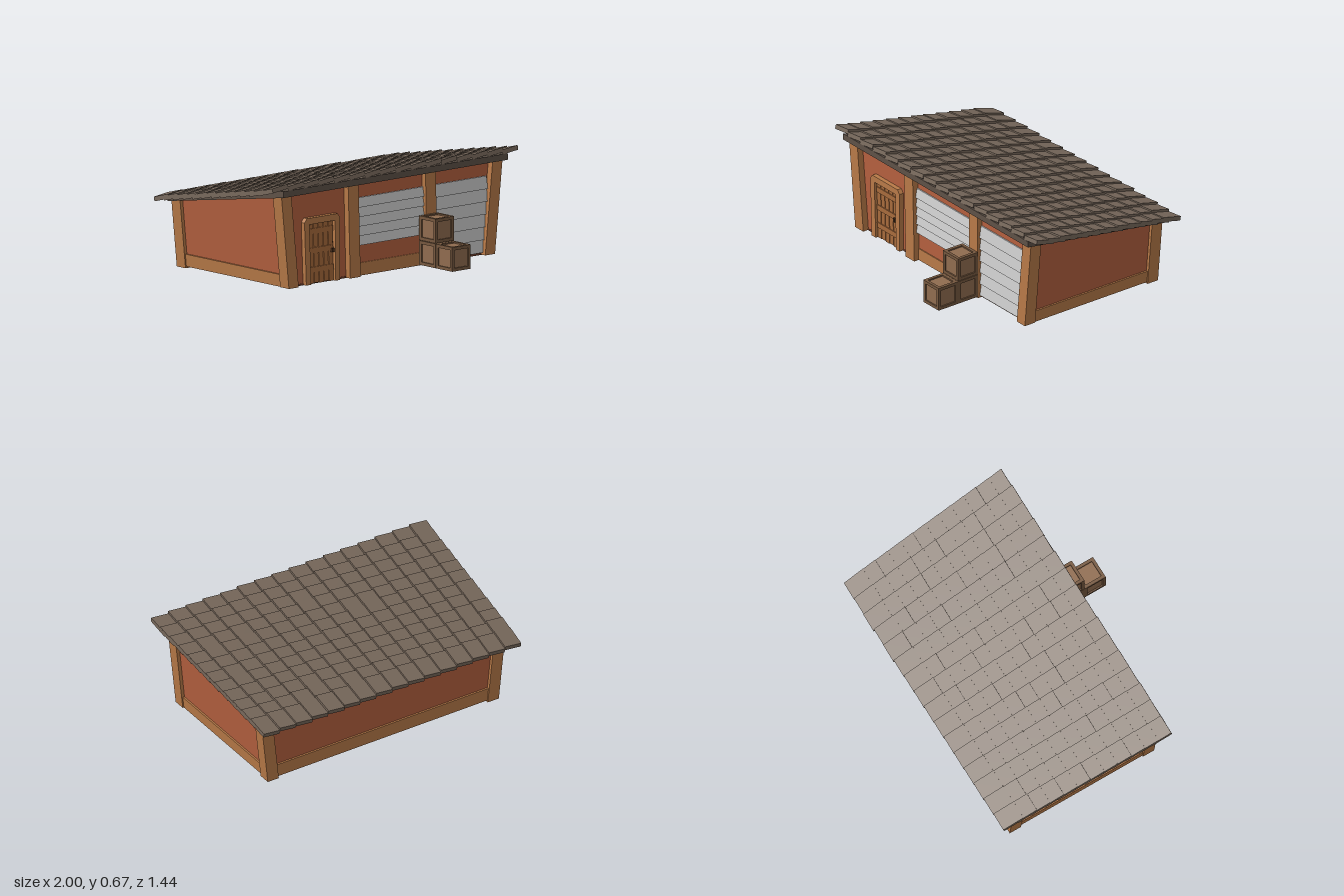
import * as THREE from 'three';
import { mergeGeometries } from 'three/addons/utils/BufferGeometryUtils.js';

const mat = (color) => new THREE.MeshStandardMaterial({ color, flatShading: true });
const M = {
  wall: mat(0xb4603f), wood: mat(0xb87a48), door: mat(0xa86b3c), gap: mat(0x4a2f1c),
  tile: mat(0x78695c), eave: mat(0x5e5147), floor: mat(0x6b3a28),
  crate: mat(0x906c4f), crateFrame: mat(0x76583f),
  metal: mat(0xcccccc),
};

// Underside of the sloping roof at depth z
const roofY = (z) => 0.59 + (z - 0.445) * 0.166;

// Box given by its limits, with corners moved by a rule
function block(x0, x1, y0, y1, z0, z1, rule) {
  const g = new THREE.BoxGeometry(x1 - x0, y1 - y0, z1 - z0);
  g.translate((x0 + x1) / 2, (y0 + y1) / 2, (z0 + z1) / 2);
  if (rule) {
    const p = g.attributes.position;
    const v = new THREE.Vector3();
    for (let i = 0; i < p.count; i++) {
      v.fromBufferAttribute(p, i);
      rule(v);
      p.setXYZ(i, v.x, v.y, v.z);
    }
    g.computeVertexNormals();
  }
  return g;
}

// Leans a part sideways with height
const lean = (k) => (v) => { v.x += k * v.y; };
// Leans a part and cuts its top to the roof slope
const underRoof = (k) => (v) => {
  if (v.y > 0.3) v.y = roofY(v.z) + 0.01;
  v.x += k * v.y;
};

function add(parent, name, material, ...geos) {
  const mesh = new THREE.Mesh(geos.length > 1 ? mergeGeometries(geos) : geos[0], material);
  mesh.name = name;
  parent.add(mesh);
  return mesh;
}

function group(parent, name) {
  const g = new THREE.Group();
  g.name = name;
  parent.add(g);
  return g;
}

let seed = 7;
const jitter = (a) => {
  seed = (seed * 16807) % 2147483647;
  return (seed / 2147483647 - 0.5) * 2 * a;
};

function buildRoof(root) {
  const roof = group(root, 'roof');
  // Eave slab following the slope
  add(roof, 'eaveSlab', M.eave, block(-1, 1, 0, 0.04, -0.65, 0.445, (v) => {
    v.x *= v.z > 0 ? 0.915 : 0.89;
    v.y += roofY(v.z);
  }));
  // Tiles: each one is higher at its front end and at its +x side
  const tiles = [], rows = 12, cols = 16, len = 0.14;
  const halfWidth = (z) => 1 - (0.445 - z) * 0.0558;
  for (let r = 0; r < rows; r++) {
    for (let c = 0; c < cols; c++) {
      const zf = 0.445 - r * 0.0932 + jitter(0.003);
      const yf = 0.67 - r * 0.017 + jitter(0.0015);
      tiles.push(block(0, 1, 0, 1, 0, 1, (v) => {
        const z = zf - (1 - v.z) * len;
        const top = yf - (1 - v.z) * 0.038 - (1 - v.x) * 0.014;
        const x = (((c + v.x) / cols) * 2 - 1) * halfWidth(z);
        v.set(x, top - (1 - v.y) * 0.028, z - (1 - v.y) * 0.006 * -1 - 0.006);
      }));
    }
  }
  add(roof, 'tiles', M.tile, ...tiles);
}

function buildDoor(root) {
  const door = group(root, 'door');
  const k = -0.03;
  // Frame with chamfered upper corners
  const s = new THREE.Shape();
  [[-0.69, 0.01], [-0.705, 0.4], [-0.685, 0.425], [-0.435, 0.425], [-0.415, 0.4], [-0.415, 0.01],
    [-0.45, 0.01], [-0.455, 0.385], [-0.665, 0.385], [-0.65, 0.01]]
    .forEach(([x, y], i) => (i ? s.lineTo(x, y) : s.moveTo(x, y)));
  const frame = new THREE.ExtrudeGeometry(s, { depth: 0.04, bevelEnabled: false });
  frame.translate(0, 0, 0.36);
  add(door, 'doorFrame', M.wood, frame);
  add(door, 'doorBacking', M.gap, block(-0.655, -0.445, 0.01, 0.392, 0.36, 0.376, lean(k)));
  // Planks with uneven ends
  const planks = [];
  for (let i = 0; i < 5; i++) {
    const x = -0.648 + i * 0.04;
    planks.push(block(x, x + 0.035, 0.015 + jitter(0.006), 0.385 + jitter(0.006), 0.37, 0.384, lean(k)));
  }
  add(door, 'doorPlanks', M.door, ...planks);
  // Cross boards
  add(door, 'doorBattens', M.door,
    ...[0.08, 0.2, 0.32].map((y) => block(-0.645, -0.455, y, y + 0.035, 0.375, 0.39, lean(k))));
  add(door, 'doorHandle', M.gap, block(-0.478, -0.462, 0.19, 0.215, 0.385, 0.4));
}

// Metal shutter made of slats whose lower edge stands out
function shutter(root, name, x0, x1, y0, y1, count) {
  const h = (y1 - y0) / count;
  const slats = [];
  for (let i = 0; i < count; i++) {
    const a = y0 + i * h;
    slats.push(block(x0, x1, a, a + h, 0.36, 0.378, (v) => {
      if (v.z > 0.37 && v.y < a + h / 2) v.z += 0.012;
    }));
  }
  add(root, name, M.metal, ...slats);
}

function crate(root, x, y, z) {
  const g = group(root, 'crate');
  const s = 0.0755, t = 0.02;
  add(g, 'cratePanels', M.crate, new THREE.BoxGeometry(s * 2 - 0.018, s * 2 - 0.018, s * 2 - 0.018));
  // Twelve edge beams
  const beams = [];
  for (const a of [-1, 1]) for (const b of [-1, 1]) {
    const p = a * (s - t / 2), q = b * (s - t / 2);
    beams.push(new THREE.BoxGeometry(s * 2, t, t).translate(0, p, q));
    beams.push(new THREE.BoxGeometry(t, s * 2, t).translate(p, 0, q));
    beams.push(new THREE.BoxGeometry(t, t, s * 2).translate(p, q, 0));
  }
  add(g, 'crateFrame', M.crateFrame, ...beams);
  g.position.set(x, y, z);
}

export function createModel() {
  const root = new THREE.Group();
  root.name = 'shed';

  // Walls flare outward with height
  add(root, 'walls', M.wall, block(-0.82, 0.82, 0.012, 0.59, -0.6, 0.37, (v) => underRoof(Math.sign(v.x) * 0.1)(v)));
  add(root, 'floor', M.floor, block(-0.815, 0.815, 0.008, 0.02, -0.598, 0.372));

  // Corner posts
  for (const s of [-1, 1]) {
    const [a, b] = s < 0 ? [-0.84, -0.76] : [0.76, 0.84];
    add(root, 'frontPost', M.wood, block(a, b, 0.01, 0.59, 0.33, 0.41, underRoof(s * 0.105)));
    add(root, 'backPost', M.wood, block(a, b, 0, 0.59, -0.62, -0.54, underRoof(s * 0.105)));
    // Side skirting
    const [c, d] = s < 0 ? [-0.832, -0.8] : [0.8, 0.832];
    add(root, 'sideSkirting', M.wood, block(c, d, 0.01, 0.088, -0.55, 0.34, lean(s * 0.1)));
  }
  // Middle posts of the front
  add(root, 'middlePost', M.wood, block(-0.34, -0.255, 0.01, 0.59, 0.34, 0.41, underRoof(-0.03)));
  add(root, 'middlePost', M.wood, block(0.285, 0.37, 0.01, 0.59, 0.34, 0.405, underRoof(-0.01)));
  // Front and back skirting
  add(root, 'frontSkirting', M.wood, block(-0.27, 0.3, 0.01, 0.088, 0.36, 0.376));
  add(root, 'backSkirting', M.wood, block(-0.78, 0.78, 0.01, 0.095, -0.612, -0.58));

  buildRoof(root);
  buildDoor(root);
  shutter(root, 'windowShutter', -0.27, 0.29, 0.2, 0.495, 5);
  shutter(root, 'garageShutter', 0.355, 0.8, 0.025, 0.495, 6);

  // Stacked crates
  crate(root, 0.298, 0.098, 0.485);
  crate(root, 0.298, 0.252, 0.485);
  crate(root, 0.298, 0.098, 0.637);
  return root;
}
